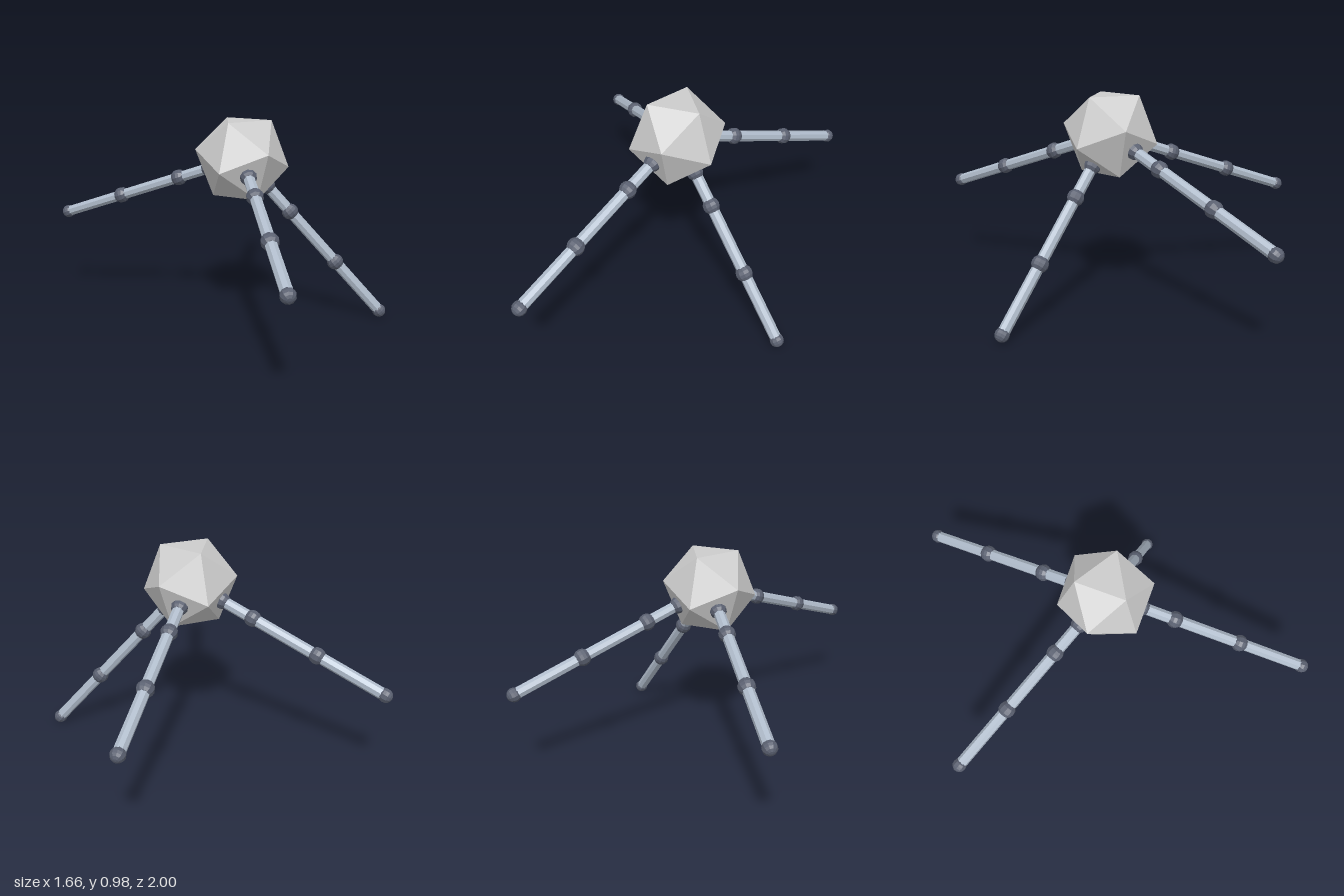
import * as THREE from 'three';

const bodyMaterial = new THREE.MeshStandardMaterial({ color: 0xcccccc, flatShading: true });
const legMaterial = new THREE.MeshStandardMaterial({ color: 0xb0bccb, flatShading: true });
const jointMaterial = new THREE.MeshStandardMaterial({ color: 0x5a6070, flatShading: true });

const CENTRE = new THREE.Vector3(0.107, 0.806, 0);
const HIP = 0.18, REACH = 1.034; // distances from the body centre
const UP = new THREE.Vector3(0, 1, 0);

// A straight leg running out of one body face: three segments, four ball joints
function createLeg(name, direction) {
  const leg = new THREE.Group();
  leg.name = name;
  leg.position.copy(CENTRE);
  leg.quaternion.setFromUnitVectors(UP, direction.normalize());

  const stops = [0, 0.2, 0.6, 1].map((t) => HIP + t * (REACH - HIP));
  const joints = ['hip', 'upperKnee', 'lowerKnee', 'foot'];
  const segments = ['upperLeg', 'middleLeg', 'lowerLeg'];

  stops.forEach((d, i) => {
    const ball = new THREE.Mesh(new THREE.SphereGeometry(i === 3 ? 0.033 : 0.04, 10, 8), jointMaterial);
    ball.name = joints[i];
    ball.position.y = d;
    leg.add(ball);
    if (i === 3) return;
    const length = stops[i + 1] - d;
    const tube = new THREE.Mesh(new THREE.CylinderGeometry(0.027, 0.027, length, 8), legMaterial);
    tube.name = segments[i];
    tube.position.y = d + length / 2;
    leg.add(tube);
  });
  return leg;
}

export function createModel() {
  const model = new THREE.Group();
  model.name = 'fourLeggedWalker';

  // Icosahedral body, turned so one face lies flat on top
  const body = new THREE.Mesh(new THREE.IcosahedronGeometry(0.226, 0), bodyMaterial);
  body.name = 'body';
  body.position.copy(CENTRE);
  body.rotation.z = THREE.MathUtils.degToRad(20.905 - 90);
  model.add(body);

  // Legs follow the normals of four body faces
  model.add(
    createLeg('frontLeg', new THREE.Vector3(0.127, -0.333, 0.934)),
    createLeg('backLeg', new THREE.Vector3(0.127, -0.333, -0.934)),
    createLeg('leftLeg', new THREE.Vector3(0.667, -0.745, 0)),
    createLeg('rightBackLeg', new THREE.Vector3(-0.873, -0.333, -0.357)),
  );
  return model;
}
